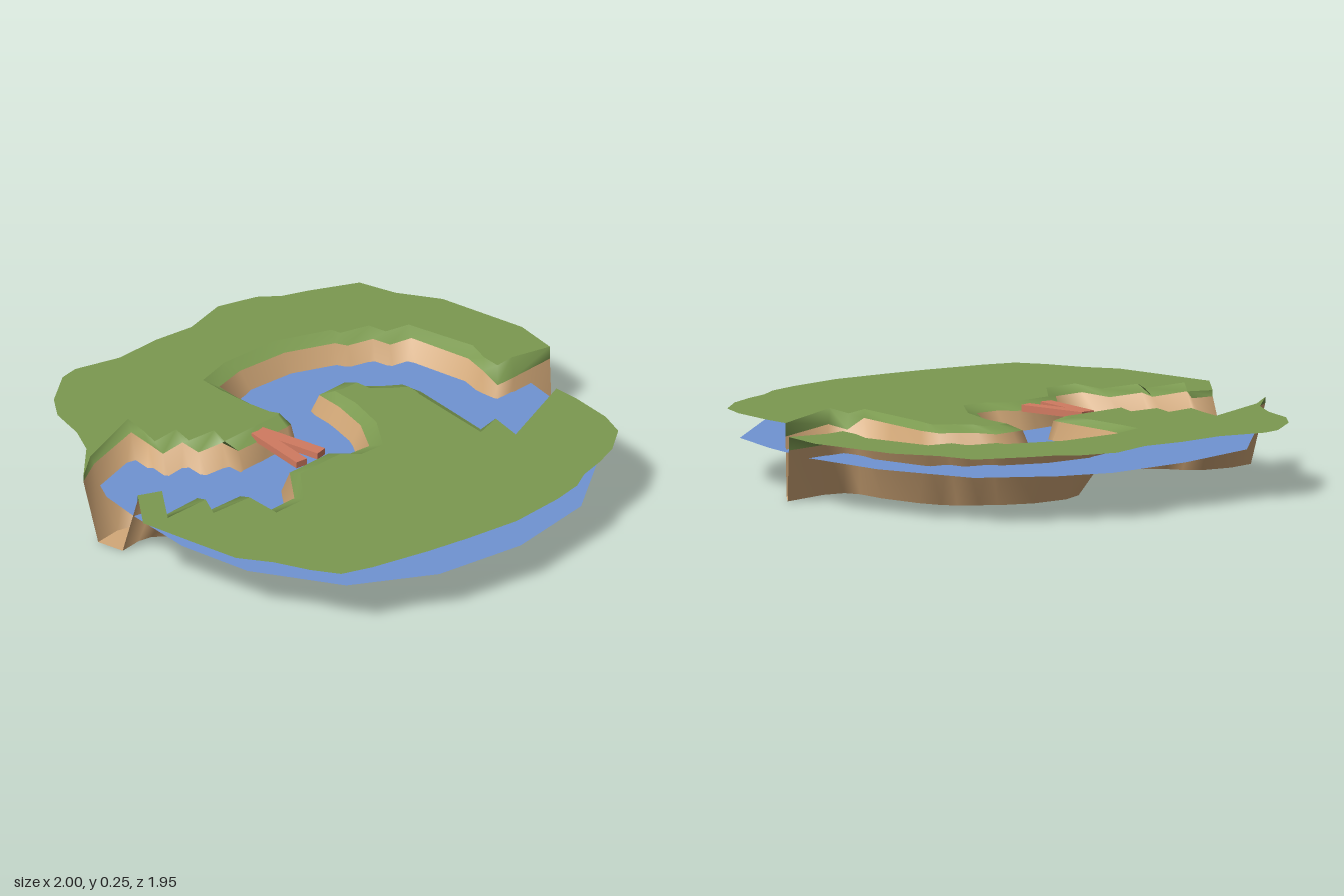
import * as THREE from 'three';

const mat = (color) => new THREE.MeshStandardMaterial({ color, side: THREE.DoubleSide });
const V = (x, y, z) => new THREE.Vector3(x, y, z);
const TOP = 0.255, WATER = 0.16;

// Matching stations down the river: north and south bank edges [x, z]
const north = [
  [-0.91, -0.4], [-0.79, -0.465], [-0.53, -0.535], [-0.545, -0.43], [-0.56, -0.34], [-0.45, -0.35],
  [-0.46, -0.255], [-0.35, -0.245], [-0.35, -0.16], [-0.2, -0.16], [-0.1, -0.16], [-0.075, -0.165],
  [-0.075, -0.2], [-0.075, -0.3], [-0.075, -0.45], [-0.065, -0.545], [0.07, -0.575], [0.28, -0.555],
  [0.46, -0.475], [0.48, -0.43], [0.58, -0.4], [0.595, -0.325], [0.685, -0.305], [0.725, -0.05],
  [0.7, 0.05], [0.695, 0.13], [0.78, 0.13], [0.97, 0.125]];
const south = [
  [-0.87, -0.16], [-0.785, -0.14], [-0.875, -0.015], [-0.7, -0.02], [-0.735, 0.075], [-0.58, 0.08],
  [-0.58, 0.23], [-0.45, 0.23], [-0.33, 0.085], [-0.2, 0.085], [-0.13, 0.085], [-0.075, 0.14],
  [0.015, 0.15], [0.1, 0.02], [0.14, -0.13], [0.15, -0.245], [0.2, -0.245], [0.28, -0.245],
  [0.31, -0.18], [0.36, -0.13], [0.42, -0.085], [0.425, -0.04], [0.43, 0], [0.41, 0.18],
  [0.39, 0.35], [0.5, 0.32], [0.47, 0.455], [0.77, 0.36]];
const last = north.length - 1;

// Outer shores, running from the right end of the river back to its left end
const northShore = [
  [1, -0.05], [0.94, -0.4], [0.85, -0.555], [0.81, -0.7], [0.635, -0.79], [0.54, -0.83], [0.47, -0.89],
  [0.32, -0.94], [0.145, -0.9], [-0.015, -0.925], [-0.2, -0.925], [-0.375, -0.98], [-0.45, -0.97],
  [-0.59, -0.875], [-0.66, -0.785], [-0.7, -0.645], [-0.76, -0.535]];
const southShore = [
  [0.77, 0.46], [0.75, 0.635], [0.71, 0.74], [0.6, 0.82], [0.5, 0.855], [0.395, 0.88], [0.32, 0.92],
  [0.2, 0.94], [-0.02, 0.95], [-0.235, 0.915], [-0.405, 0.88], [-0.635, 0.82], [-0.75, 0.775],
  [-0.81, 0.675], [-0.865, 0.54], [-0.94, 0.42], [-0.97, 0.22], [-1, 0]];
const waterEdge = [
  [-0.87, -0.18], [-0.84, -0.35], [-0.74, -0.53], [-0.46, -0.79], [-0.1, -0.85], [0.25, -0.84],
  [0.45, -0.76], [0.7, -0.58], [0.83, -0.2], [0.85, 0.15], [0.8, 0.42], [0.73, 0.65], [0.34, 0.92],
  [-0.02, 0.97], [-0.38, 0.91], [-0.68, 0.73], [-0.86, 0.4], [-0.9, 0.1]];

// Strip of quads between two rows of points, facing up
function strip(rowA, rowB, flip) {
  const n = rowA.length, index = [];
  for (let i = 0; i < n - 1; i++) {
    const q = [i, n + i, i + 1, i + 1, n + i, n + i + 1];
    index.push(...(flip ? q.reverse() : q));
  }
  const g = new THREE.BufferGeometry().setFromPoints([...rowA, ...rowB]);
  g.setIndex(index);
  g.computeVertexNormals();
  return g;
}

// Horizontal sheet from an outline of [x, z] points
function sheet(points, y) {
  const shape = new THREE.Shape(points.map(([x, z]) => new THREE.Vector2(x, -z)));
  return new THREE.ShapeGeometry(shape).rotateX(-Math.PI / 2).translate(0, y, 0);
}

export function createModel() {
  const group = new THREE.Group();
  const grass = mat(0x7b9950), sand = mat(0xd2a878), water = mat(0x6f93d2), wood = mat(0xd07a60);
  const add = (name, geometry, material) => {
    const mesh = new THREE.Mesh(geometry, material);
    mesh.name = name;
    group.add(mesh);
    return mesh;
  };

  // River centre line, lightly smoothed
  const raw = north.map(([x, z], i) => V((x + south[i][0]) / 2, 0, (z + south[i][1]) / 2));
  const mid = raw.map((p, i) => (i === 0 || i === last) ? p
    : p.clone().multiplyScalar(2).add(raw[i - 1]).add(raw[i + 1]).multiplyScalar(0.25));

  const beds = [];
  const sides = [['north', north, northShore, false], ['south', south, southShore, true]];
  for (const [name, bank, shore, flip] of sides) {
    const rim = bank.map(([x, z], i) => V(x, i > last - 3 ? 0.205 : 0.232, z));
    const away = rim.map((p, i) => V(p.x - mid[i].x, 0, p.z - mid[i].z).normalize());
    const bed = mid.map((p, i) => p.clone().addScaledVector(away[i], 0.055));
    beds.push(bed);

    // Sandy wall from the river bed up to the grass rim
    add(name + 'Bank', strip(rim, bed, flip), sand);

    // Grass verge rising from the rim to the flat meadow
    const verge = rim.map((p, i) => {
      const width = (i === 0 || i === last) ? 0 : i === 1 ? 0.02 : 0.06;
      return p.clone().addScaledVector(away[i], width).setY(TOP);
    });
    add(name + 'Verge', strip(verge, rim, flip), grass);

    // Flat meadow out to the shore
    add(name + 'Meadow', sheet([...verge.map((p) => [p.x, p.z]), ...shore], TOP), grass);
  }

  // River bed and water surface
  add('riverBed', strip(beds[0], beds[1], false), sand);
  add('water', sheet(waterEdge, WATER), water);

  // Footbridge of two splayed planks
  for (const [x0, x1] of [[-0.227, -0.263], [-0.213, -0.162]]) {
    const from = V(x0, 0.242, -0.19), to = V(x1, 0.242, 0.08);
    const plank = add('bridgePlank', new THREE.BoxGeometry(0.048, 0.025, from.distanceTo(to)), wood);
    plank.position.copy(from).lerp(to, 0.5);
    plank.rotation.y = Math.atan2(x1 - x0, to.z - from.z);
  }
  return group;
}
